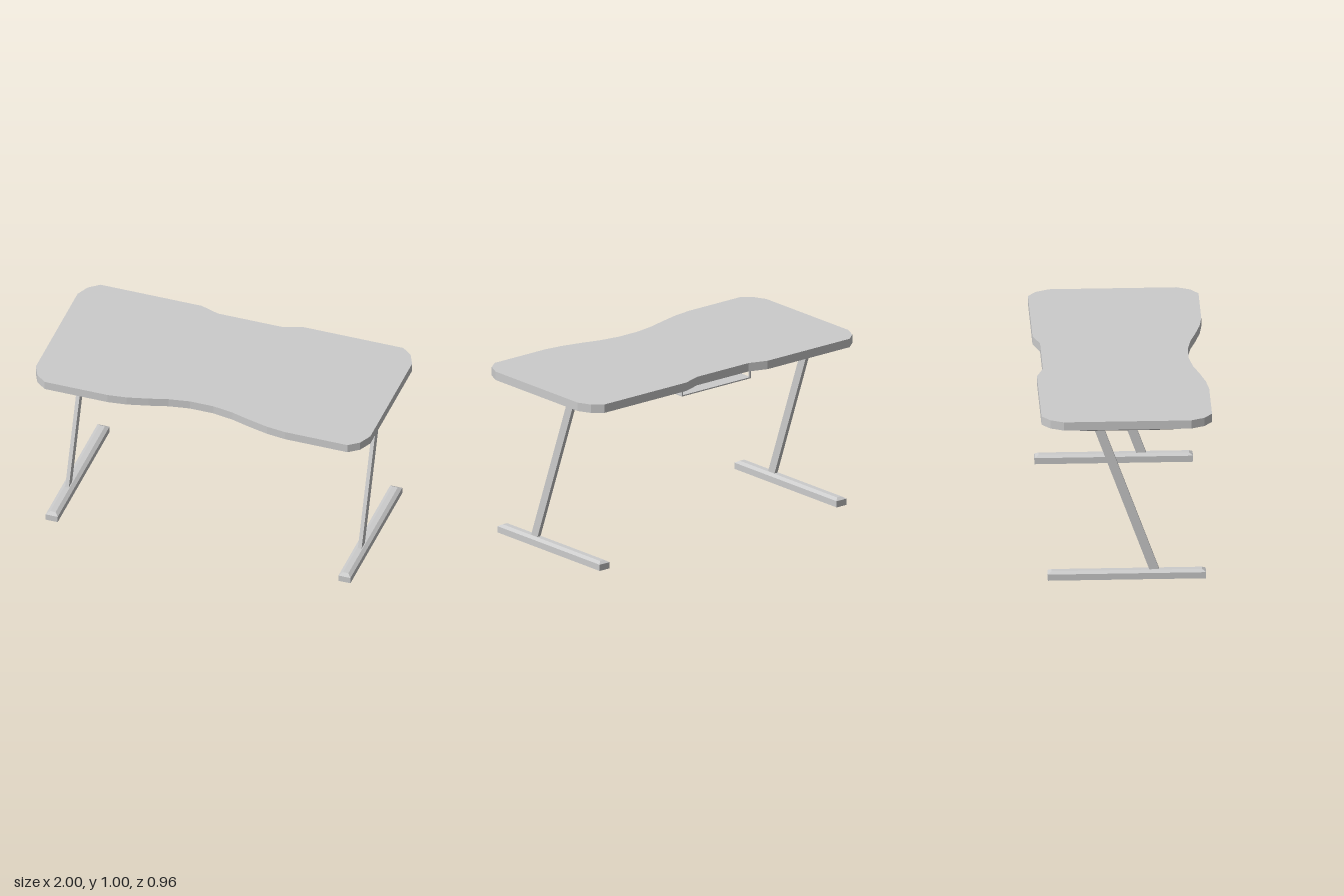
import * as THREE from 'three';

export function createModel() {
  const desk = new THREE.Group();
  desk.name = 'desk';
  const mat = new THREE.MeshStandardMaterial({ color: 0xcccccc, flatShading: true });

  function add(geometry, name, parent = desk) {
    const mesh = new THREE.Mesh(geometry, mat);
    mesh.name = name;
    parent.add(mesh);
    return mesh;
  }

  // Box centred on x and z, standing on y = 0; its top (or bottom) rim is chamfered
  function chamferedBar(w, h, d, insetX, insetZ, rise) {
    const g = new THREE.BoxGeometry(w, h, d, 1, 2, 1).translate(0, h / 2, 0);
    const p = g.attributes.position;
    for (let i = 0; i < p.count; i++) {
      const y = p.getY(i);
      if (y > h * 0.75) {
        p.setX(i, p.getX(i) - Math.sign(p.getX(i)) * insetX);
        p.setZ(i, p.getZ(i) - Math.sign(p.getZ(i)) * insetZ);
      } else if (y > h * 0.25) p.setY(i, h - rise);
    }
    g.computeVertexNormals();
    return g;
  }

  // Worktop: half outline from front centre to back centre, mirrored in x
  const half = [
    [0.07, 0.385], [0.19, 0.405], [0.3, 0.437], [0.42, 0.467], [0.53, 0.481],
    [0.905, 0.481], [0.965, 0.435], [1, 0.36],
    [1, -0.36], [0.965, -0.435], [0.905, -0.483], [0.3, -0.483], [0.19, -0.445],
  ];
  const outline = [...half, ...half.map(([x, z]) => [-x, z]).reverse()];
  const shape = new THREE.Shape(outline.map(([x, z]) => new THREE.Vector2(x, -z)));
  const top = new THREE.ExtrudeGeometry(shape, { depth: 0.05, bevelEnabled: false });
  add(top.rotateX(-Math.PI / 2).translate(0, 0.95, 0), 'worktop');

  // Leg frames: foot, slanted post and bracket under the worktop
  for (const side of [-1, 1]) {
    const frame = new THREE.Group();
    frame.name = side > 0 ? 'leftLegFrame' : 'rightLegFrame';
    frame.position.x = side * 0.875;
    desk.add(frame);

    add(chamferedBar(0.072, 0.05, 0.895, 0.02, 0.022, 0.013), 'foot', frame);

    const post = new THREE.BoxGeometry(0.022, 0.85, 0.056).translate(0, 0.475, 0);
    const p = post.attributes.position;
    for (let i = 0; i < p.count; i++) {
      p.setZ(i, p.getZ(i) + THREE.MathUtils.mapLinear(p.getY(i), 0.05, 0.9, 0.155, -0.153));
    }
    post.computeVertexNormals();
    add(post, 'slantedPost', frame);

    const bracket = chamferedBar(0.048, 0.05, 0.548, 0.012, 0.012, 0.012);
    add(bracket.rotateZ(Math.PI).translate(0, 0.95, 0), 'bracket', frame);
  }

  // Cable tray: flat base hung from four corner hangers
  const tray = new THREE.Group();
  tray.name = 'cableTray';
  tray.position.z = -0.332;
  desk.add(tray);
  add(new THREE.BoxGeometry(0.508, 0.007, 0.115), 'trayBase', tray).position.y = 0.8855;
  for (const x of [-0.25, 0.25]) {
    for (const z of [-0.0515, 0.0515]) {
      add(new THREE.BoxGeometry(0.008, 0.061, 0.012), 'trayHanger', tray).position.set(x, 0.9195, z);
    }
  }
  return desk;
}
